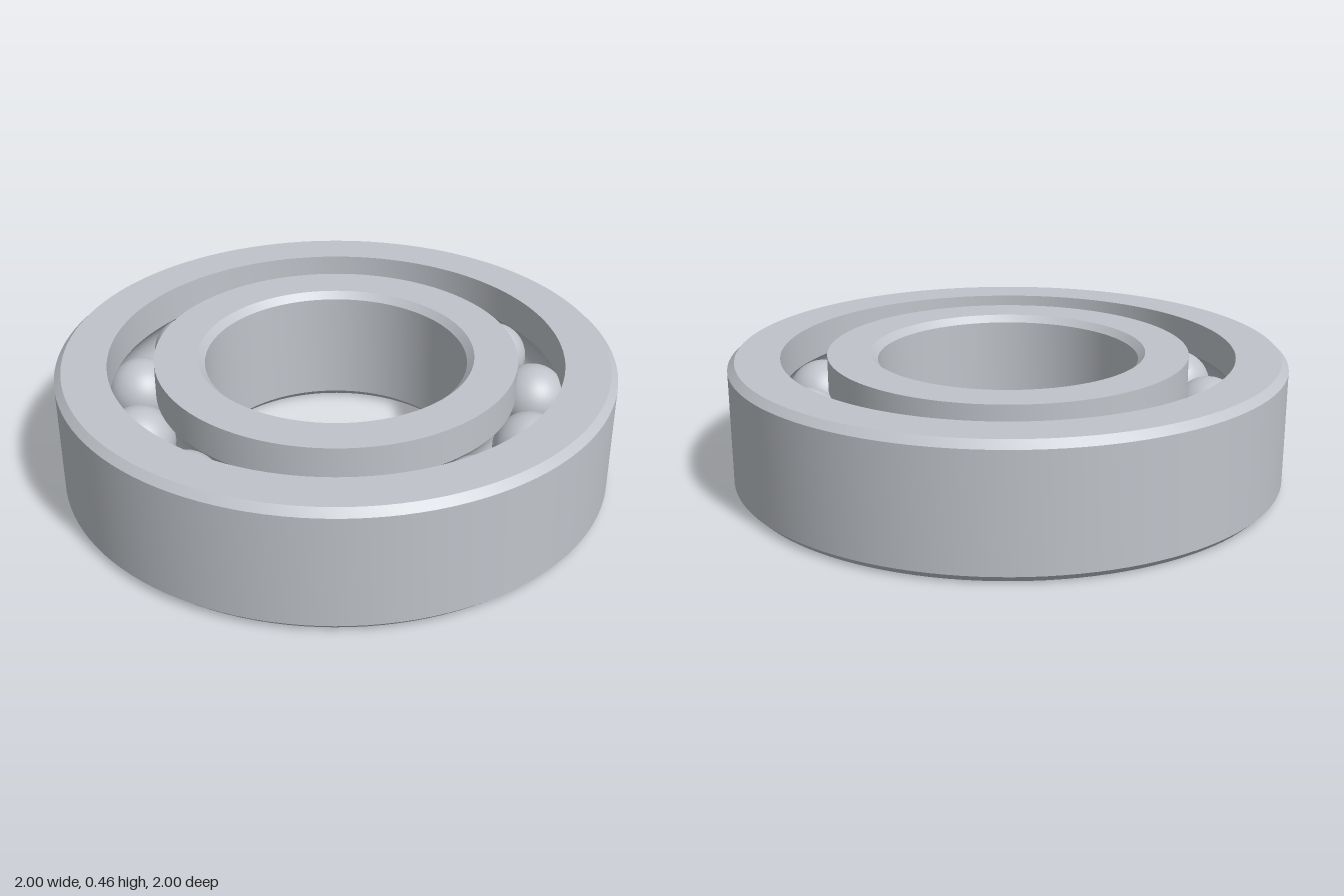
import * as THREE from 'three';
import { toCreasedNormals } from 'three/addons/utils/BufferGeometryUtils.js';

const HEIGHT = 0.46, MID = HEIGHT / 2, CHAMFER = 0.025;
const PITCH = 0.73, BALL_R = 0.127, GROOVE_R = 0.13, BALLS = 13;

// Arc of the ball groove between the two edges where it meets a wall of radius r
function groove(r) {
  const dx = r - PITCH;
  const half = Math.asin(Math.sqrt(GROOVE_R ** 2 - dx ** 2) / GROOVE_R);
  const points = [];
  for (let i = 0; i <= 16; i++) {
    const a = half * (i / 8 - 1);
    points.push([PITCH + Math.sign(dx) * GROOVE_R * Math.cos(a), MID + GROOVE_R * Math.sin(a)]);
  }
  return points; // runs upwards
}

function ring(name, profile, material) {
  const points = [...profile, profile[0]].map(([r, y]) => new THREE.Vector2(r, y));
  const geometry = toCreasedNormals(new THREE.LatheGeometry(points, 120), 0.4);
  const mesh = new THREE.Mesh(geometry, material);
  mesh.name = name;
  return mesh;
}

export function createModel() {
  const steel = new THREE.MeshStandardMaterial({ color: 0xc0c4ca });
  steel.name = 'steel';
  const model = new THREE.Group();
  model.name = 'ballBearing';

  // Outer ring: chamfered outside, grooved inside
  model.add(ring('outerRing', [
    [1 - CHAMFER, 0], [1, CHAMFER], [1, HEIGHT - CHAMFER], [1 - CHAMFER, HEIGHT],
    [0.815, HEIGHT], ...groove(0.815).reverse(), [0.815, 0],
  ], steel));

  // Inner ring: grooved outside, chamfered bore
  model.add(ring('innerRing', [
    [0.65, 0], ...groove(0.65), [0.65, HEIGHT],
    [0.47 + CHAMFER, HEIGHT], [0.47, HEIGHT - CHAMFER], [0.47, CHAMFER], [0.47 + CHAMFER, 0],
  ], steel));

  // Balls, evenly spaced in the groove
  const balls = new THREE.Group();
  balls.name = 'balls';
  const ballGeometry = new THREE.SphereGeometry(BALL_R, 40, 28);
  for (let i = 0; i < BALLS; i++) {
    const a = (i / BALLS) * Math.PI * 2;
    const ball = new THREE.Mesh(ballGeometry, steel);
    ball.name = 'ball';
    ball.position.set(PITCH * Math.cos(a), MID, PITCH * Math.sin(a));
    balls.add(ball);
  }
  model.add(balls);
  return model;
}
